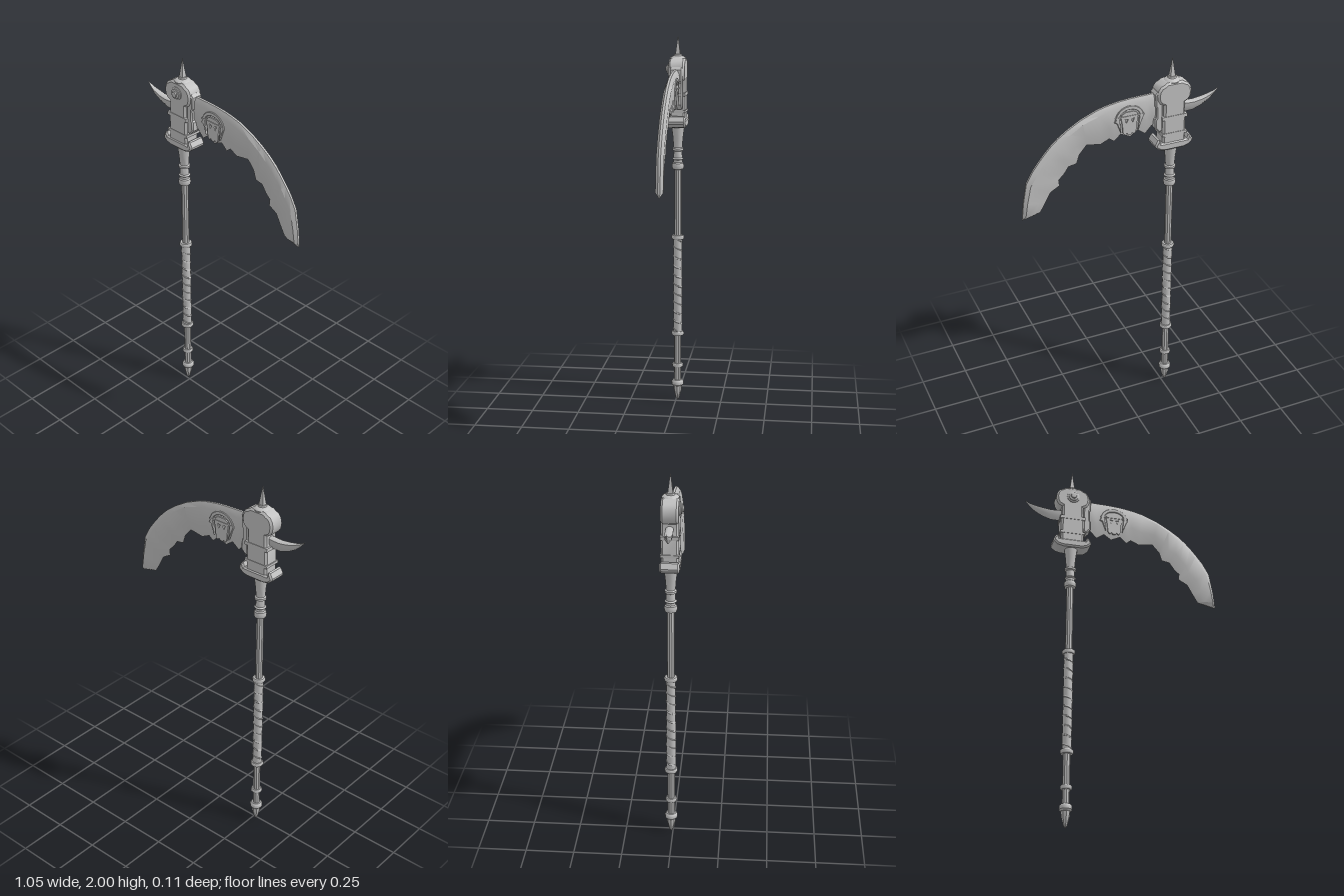
import * as THREE from 'three';
import { toCreasedNormals } from 'three/addons/utils/BufferGeometryUtils.js';

const steel = new THREE.MeshStandardMaterial({ color: 0xc0c0c0 });
steel.name = 'steel grey';

const V2 = (p) => new THREE.Vector2(p[0], p[1]);

function add(parent, name, geometry, x = 0, y = 0, z = 0) {
  const mesh = new THREE.Mesh(toCreasedNormals(geometry, 0.6), steel);
  mesh.name = name;
  mesh.position.set(x, y, z);
  parent.add(mesh);
  return mesh;
}

// Turned part from [radius, y] points
const turned = (points, sides = 12) => new THREE.LatheGeometry(points.map(V2), sides);

// Plate in the xy plane, centred on z, with a chamfer inside its outline
function plate(shape, depth, bevel) {
  const g = new THREE.ExtrudeGeometry(shape, {
    depth: depth - 2 * bevel, bevelEnabled: bevel > 0, bevelThickness: bevel,
    bevelSize: bevel, bevelOffset: -bevel, bevelSegments: 1, curveSegments: 10,
  });
  return g.translate(0, 0, -depth / 2 + bevel);
}

// Mirrored outline from its right half, listed bottom to top
const mirrored = (half) => new THREE.Shape(
  [...half, ...half.slice().reverse().map(([x, y]) => [-x, y])].map(V2));

// Blade lofted from sections: back point, cutting point, half thickness
function bladeLoft(sections) {
  const rings = sections.map(([t, b, h]) => {
    const at = (k, z) => [t.x + (b.x - t.x) * k, t.y + (b.y - t.y) * k, z];
    return [at(0, h * 0.3), at(0.14, h), at(0.62, h * 0.8), at(1, 0),
      at(0.62, -h * 0.8), at(0.14, -h), at(0, -h * 0.3)];
  });
  const pos = [];
  const tri = (a, b, c) => pos.push(...a, ...b, ...c);
  const n = rings[0].length;
  for (let i = 0; i < rings.length - 1; i++) {
    for (let j = 0; j < n; j++) {
      const k = (j + 1) % n, p = rings[i], q = rings[i + 1];
      tri(p[j], p[k], q[k]);
      tri(p[j], q[k], q[j]);
    }
  }
  const first = rings[0], last = rings[rings.length - 1];
  for (let j = 1; j < n - 1; j++) {
    tri(first[0], first[j + 1], first[j]);
    tri(last[0], last[j], last[j + 1]);
  }
  const g = new THREE.BufferGeometry();
  g.setAttribute('position', new THREE.Float32BufferAttribute(pos, 3));
  g.computeVertexNormals();
  return g;
}

function buildShaft(parent) {
  add(parent, 'shaft', turned([[0.019, 0.1], [0.019, 1.35]], 10));
  add(parent, 'pommelSpike', turned([[0, 0], [0.01, 0.012], [0.022, 0.06], [0.024, 0.09]], 8));
  add(parent, 'pommelCollar', turned([[0, 0.08], [0.026, 0.083], [0.033, 0.092], [0.033, 0.108],
    [0.026, 0.118], [0, 0.12]]));
  for (const [y, r] of [[0.203, 0.03], [0.385, 0.034], [0.922, 0.034]]) {
    add(parent, 'shaftRing', turned([[0, -0.011], [r - 0.004, -0.011], [r, -0.005], [r, 0.005],
      [r - 0.004, 0.011], [0, 0.011]]), 0, y);
  }
  // Grip wrapped with a spiral cord
  add(parent, 'grip', turned([[0.024, 0.385], [0.024, 0.922]]));
  const cord = [];
  for (let i = 0; i <= 120; i++) {
    const a = (i / 12) * Math.PI * 2;
    cord.push(new THREE.Vector3(Math.cos(a) * 0.021, 0.4 + 0.51 * i / 120, Math.sin(a) * 0.021));
  }
  add(parent, 'gripCord', new THREE.TubeGeometry(new THREE.CatmullRomCurve3(cord), 200, 0.006, 5));
  // Stepped neck below the head
  add(parent, 'neck', turned([[0.019, 1.29], [0.03, 1.295], [0.033, 1.31], [0.03, 1.325], [0.024, 1.33],
    [0.024, 1.343], [0.031, 1.348], [0.024, 1.355], [0.022, 1.39], [0.03, 1.394], [0.03, 1.405],
    [0.023, 1.41], [0.027, 1.46], [0.036, 1.53]]));
}

function buildHead(parent) {
  // Rounded head casing
  add(parent, 'headBody', plate(mirrored([[0.062, 1.53], [0.062, 1.69], [0.057, 1.7], [0.057, 1.765],
    [0.076, 1.775], [0.087, 1.793], [0.091, 1.82], [0.086, 1.845], [0.073, 1.864], [0.055, 1.872],
    [0.04, 1.882]]), 0.085, 0.01));
  add(parent, 'headBand', new THREE.BoxGeometry(0.134, 0.018, 0.09), 0, 1.695);
  // Flared foot with upturned lobes
  add(parent, 'headFoot', plate(mirrored([[0.05, 1.518], [0.078, 1.525], [0.1, 1.543], [0.102, 1.555],
    [0.088, 1.58], [0.078, 1.583], [0.07, 1.562], [0.058, 1.562]]), 0.096, 0.008));
  add(parent, 'footCollar', new THREE.BoxGeometry(0.134, 0.014, 0.09), 0, 1.605);
  // Front pivot knob
  add(parent, 'pivotKnob', turned([[0.034, 0], [0.034, 0.006], [0.026, 0.009], [0.026, 0.014],
    [0.016, 0.016], [0.014, 0.022], [0, 0.025]].reverse(), 16).scale(1, -1, 1).rotateX(-Math.PI / 2),
  0, 1.823, 0.041);
  // Cap and four-sided spike
  add(parent, 'topCap', turned([[0.04, 1.865], [0.042, 1.88], [0.034, 1.888], [0.022, 1.892],
    [0.02, 1.9], [0, 1.902]], 14));
  add(parent, 'topSpike', new THREE.CylinderGeometry(0, 0.019, 0.105, 4).rotateY(Math.PI / 4), 0, 1.9475);
  // Notched bracket holding the blade
  const bracket = new THREE.Shape([[0.06, 1.63], [0.075, 1.618], [0.1, 1.645], [0.1, 1.69], [0.093, 1.7],
    [0.093, 1.755], [0.1, 1.765], [0.1, 1.825], [0.088, 1.84], [0.06, 1.83]].map(V2));
  add(parent, 'bladeBracket', plate(bracket, 0.066, 0.006));
}

function buildBlades(parent) {
  // Great blade: smooth back, ragged cutting edge as [x, y, place along the back]
  const back = new THREE.SplineCurve([[-0.18, 1.826], [0.008, 1.817], [0.167, 1.778], [0.325, 1.685],
    [0.43, 1.575], [0.495, 1.475], [0.515, 1.37], [0.526, 1.273]].map(V2));
  const edge = [[-0.18, 1.635, 0], [-0.165, 1.65, 0.015], [-0.13, 1.612, 0.045], [-0.09, 1.642, 0.09],
    [-0.05, 1.613, 0.13], [0, 1.637, 0.18], [0.035, 1.605, 0.22], [0.06, 1.625, 0.25],
    [0.105, 1.604, 0.3], [0.18, 1.616, 0.39], [0.218, 1.572, 0.47], [0.233, 1.525, 0.53],
    [0.275, 1.518, 0.58], [0.3, 1.482, 0.63], [0.328, 1.455, 0.68], [0.325, 1.422, 0.73],
    [0.373, 1.395, 0.8], [0.4, 1.345, 0.9], [0.428, 1.297, 0.975], [0.432, 1.294, 1]];
  const sections = edge.map(([x, y, t]) => [back.getPointAt(t), new THREE.Vector2(x, y), t === 1 ? 0.004 : 0.019]);
  add(parent, 'greatBlade', bladeLoft(sections), 0.27, 0, 0);

  // Small curved spur on the opposite side
  const spur = [[-0.524, 1.787, 1.785, 0.002], [-0.5, 1.773, 1.756, 0.008], [-0.47, 1.763, 1.73, 0.014],
    [-0.43, 1.755, 1.707, 0.018], [-0.385, 1.75, 1.692, 0.019], [-0.31, 1.755, 1.69, 0.019]];
  add(parent, 'rearSpur', bladeLoft(spur.map(([x, top, low, h]) =>
    [new THREE.Vector2(x, top), new THREE.Vector2(x, low), h])), 0.27, 0, 0);
}

// Hooded mask ornament on both faces of the blade
function buildOrnament(parent) {
  // Domed hood with flared brim tips and cheek guards
  const hood = new THREE.Shape();
  hood.moveTo(0.08, -0.01);
  hood.absellipse(0, 0, 0.074, 0.068, 0, Math.PI, false);
  hood.lineTo(-0.08, -0.01);
  hood.lineTo(-0.066, -0.016);
  hood.lineTo(-0.046, -0.07);
  hood.lineTo(-0.052, 0.005);
  hood.absellipse(0, 0.012, 0.052, 0.036, Math.PI, 0, true);
  hood.lineTo(0.046, -0.07);
  hood.lineTo(0.066, -0.016);
  // Mask with eye holes and toothed jaw
  const mask = mirrored([[0.008, -0.088], [0.014, -0.078], [0.024, -0.088], [0.034, -0.074],
    [0.038, -0.03], [0.044, 0.004], [0.04, 0.026], [0.02, 0.036]]);
  for (const s of [-1, 1]) {
    mask.holes.push(new THREE.Path([[s * 0.007, -0.004], [s * 0.025, 0], [s * 0.017, -0.024]].map(V2)));
  }
  for (const s of [-1, 1]) {
    const side = new THREE.Group();
    side.name = s > 0 ? 'frontOrnament' : 'backOrnament';
    side.position.set(0.232, 1.726, s * 0.019);
    if (s < 0) side.rotation.y = Math.PI;
    add(side, 'hood', plate(hood, 0.011, 0.002));
    add(side, 'mask', plate(mask, 0.008, 0));
    add(side, 'brow', new THREE.BoxGeometry(0.15, 0.007, 0.014), 0, 0.012);
    parent.add(side);
  }
}

export function createModel() {
  const model = new THREE.Group();
  model.name = 'scythe';
  const body = new THREE.Group();
  body.name = 'scytheBody';
  body.position.set(-0.27, 0, -0.009);
  buildShaft(body);
  buildHead(body);
  buildBlades(body);
  buildOrnament(body);
  model.add(body);
  return model;
}
